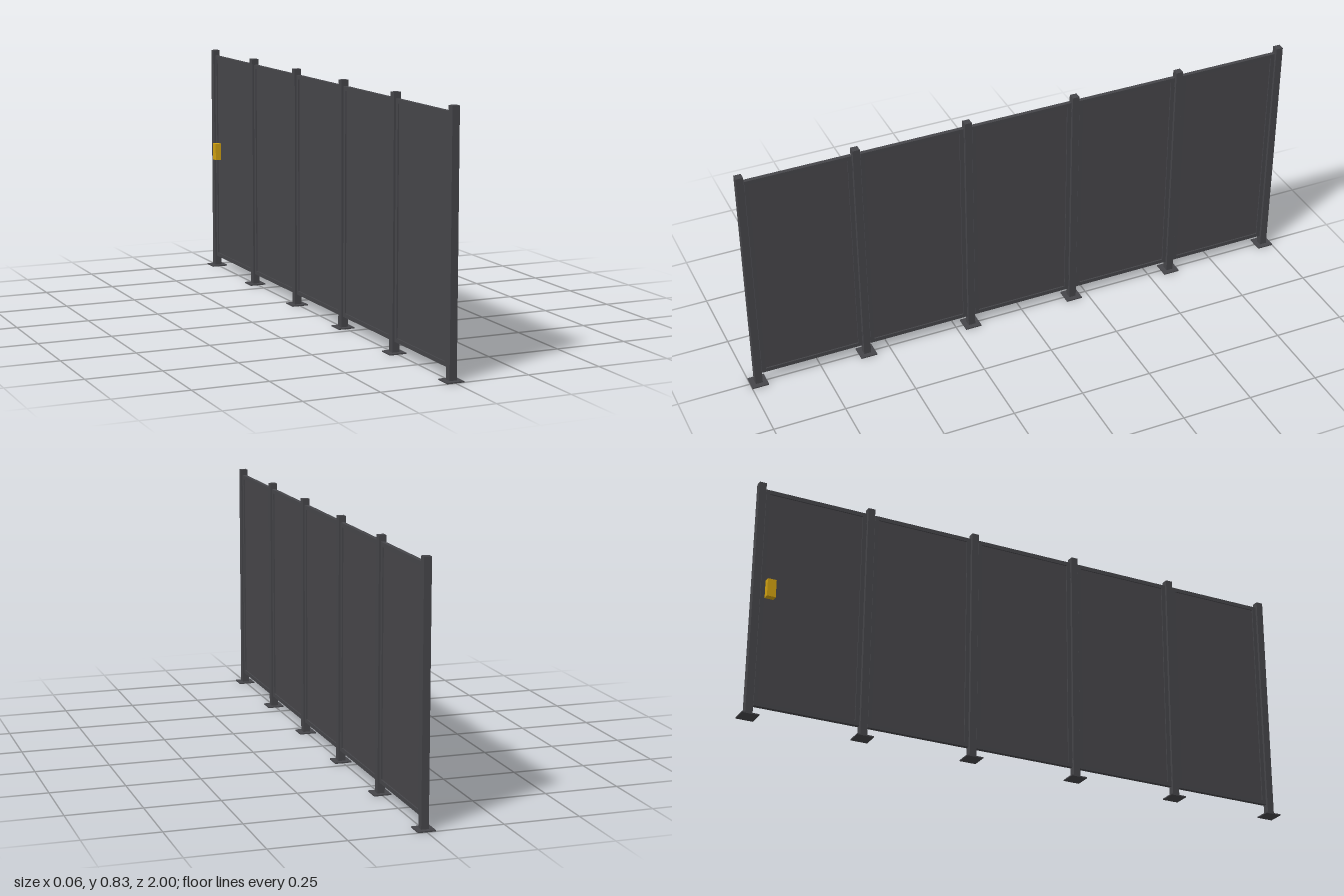
import * as THREE from 'three';

export function createModel() {
  const model = new THREE.Group();
  model.name = 'fence';

  const mat = (name, color) => {
    const m = new THREE.MeshStandardMaterial({ color });
    m.name = name;
    return m;
  };
  const postGrey = mat('post grey', 0x454549);
  const sheetGrey = mat('sheet grey', 0x464549);
  const yellow = mat('safety yellow', 0xd0a010);

  const box = (parent, name, material, size, pos) => {
    const mesh = new THREE.Mesh(new THREE.BoxGeometry(...size), material);
    mesh.name = name;
    mesh.position.set(...pos);
    parent.add(mesh);
  };

  const POSTS = 6, END = 0.971, PITCH = (2 * END) / (POSTS - 1);
  const POST_W = 0.0245, POST_H = 0.835, PLATE_H = 0.004;

  // Posts on square floor plates
  for (let i = 0; i < POSTS; i++) {
    const post = new THREE.Group();
    post.name = 'post';
    post.position.z = END - i * PITCH;
    box(post, 'basePlate', postGrey, [0.058, PLATE_H, 0.058], [0, PLATE_H / 2, 0]);
    box(post, 'postTube', postGrey, [POST_W, POST_H - PLATE_H, POST_W], [0, (POST_H + PLATE_H) / 2, 0]);
    model.add(post);
  }

  // Framed panels between the posts
  const BOTTOM = 0.04, TOP = 0.815, BAR = 0.014, DEPTH = 0.014;
  const height = TOP - BOTTOM, width = PITCH - POST_W - 0.006;
  for (let i = 0; i < POSTS - 1; i++) {
    const panel = new THREE.Group();
    panel.name = 'panel';
    panel.position.set(0, (TOP + BOTTOM) / 2, END - (i + 0.5) * PITCH);
    box(panel, 'sheet', sheetGrey, [0.005, height - 2 * BAR, width - 2 * BAR], [0, 0, 0]);
    for (const s of [-1, 1]) {
      box(panel, 'frameRail', postGrey, [DEPTH, BAR, width], [0, s * (height - BAR) / 2, 0]);
      box(panel, 'frameStile', postGrey, [DEPTH, height - 2 * BAR, BAR], [0, 0, s * (width - BAR) / 2]);
      // Brackets joining the frame to the posts
      for (const e of [-1, 1])
        box(panel, 'bracket', postGrey, [0.008, 0.02, 0.004], [0, s * 0.34, e * (width / 2 + 0.0015)]);
    }
    model.add(panel);
  }

  // Lock box beside the rear post
  box(model, 'lockBox', yellow, [0.022, 0.062, 0.03], [-0.015, 0.451, -0.925]);

  return model;
}
